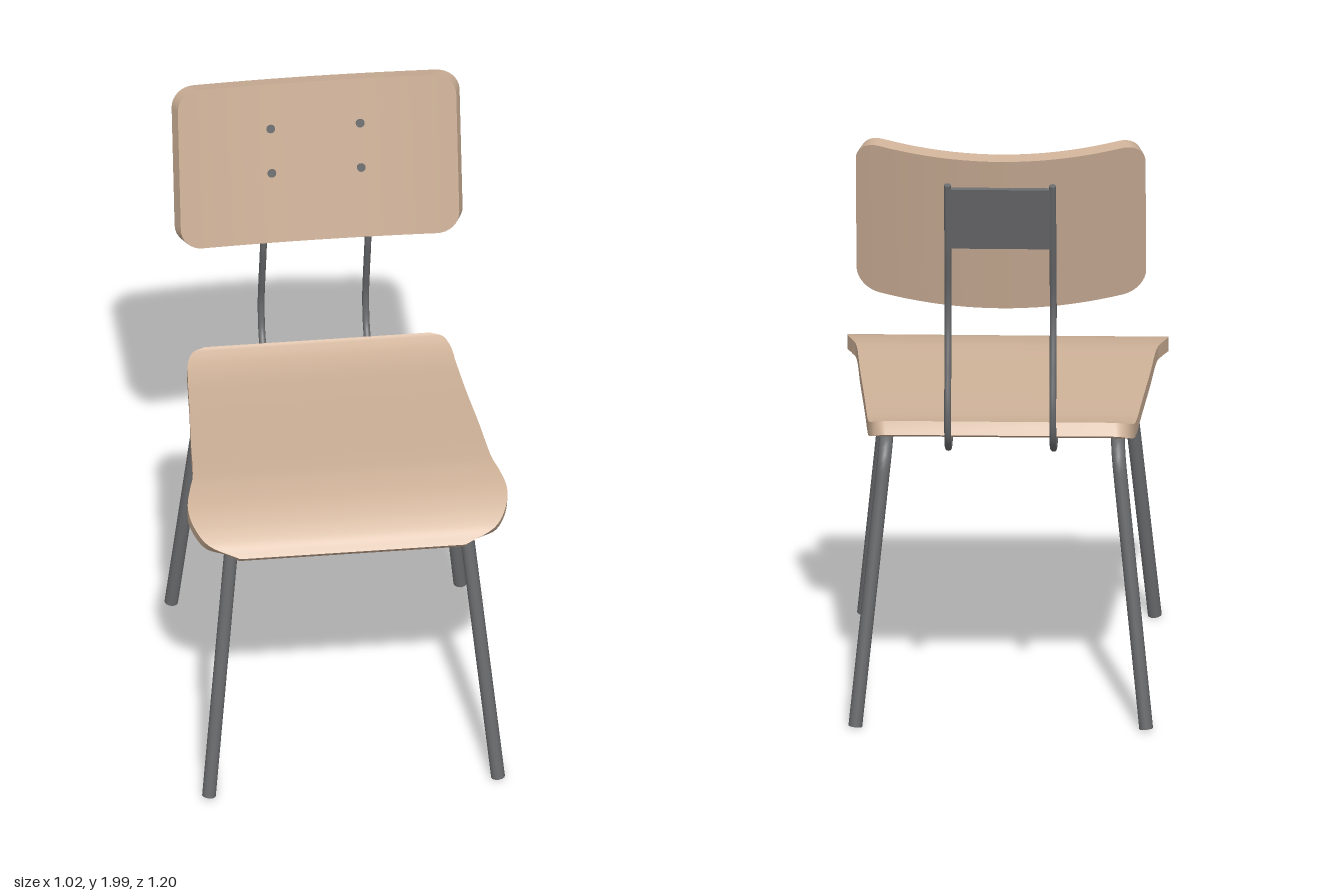
import * as THREE from 'three';
import { mergeGeometries, toCreasedNormals } from 'three/addons/utils/BufferGeometryUtils.js';

const V = (x, y, z) => new THREE.Vector3(x, y, z);
const TILT = 0.212; // backrest lean

// Skin a row of four-cornered cross-sections and close both ends
function loft(sections) {
  const pos = [];
  const quad = (a, b, c, d) => [a, b, c, a, c, d].forEach((p) => pos.push(p.x, p.y, p.z));
  for (let i = 0; i < sections.length - 1; i++) {
    const p = sections[i], q = sections[i + 1];
    for (let j = 0; j < 4; j++) {
      const k = (j + 1) % 4;
      quad(p[j], p[k], q[k], q[j]);
    }
  }
  const [a, b, c, d] = sections[0];
  quad(d, c, b, a);
  quad(...sections[sections.length - 1]);
  const geo = new THREE.BufferGeometry();
  geo.setAttribute('position', new THREE.Float32BufferAttribute(pos, 3));
  return toCreasedNormals(geo, 0.6);
}

// Capped round bar along a curve
function bar(curve, radius, segments) {
  const parts = [new THREE.TubeGeometry(curve, segments, radius, 12)];
  for (const t of [0, 1]) {
    const cap = new THREE.CircleGeometry(radius, 12);
    const dir = curve.getTangentAt(t).multiplyScalar(t ? 1 : -1);
    cap.applyQuaternion(new THREE.Quaternion().setFromUnitVectors(V(0, 0, 1), dir));
    cap.translate(...curve.getPointAt(t).toArray());
    parts.push(cap);
  }
  return mergeGeometries(parts);
}

// Straight runs joined by rounded bends
function bentPath(points, bend) {
  const path = new THREE.CurvePath();
  let from = points[0];
  for (let i = 1; i < points.length - 1; i++) {
    const p = points[i];
    const toward = (q) => p.clone().add(q.clone().sub(p).setLength(bend));
    const a = toward(points[i - 1]), b = toward(points[i + 1]);
    path.add(new THREE.LineCurve3(from, a));
    path.add(new THREE.QuadraticBezierCurve3(a, p, b));
    from = b;
  }
  path.add(new THREE.LineCurve3(from, points[points.length - 1]));
  return path;
}

// Seat: each key is half-width, height and depth along the upper surface
function seatGeometry() {
  const spine = new THREE.CatmullRomCurve3([
    V(0.36, 1.018, -0.452), V(0.4, 1.01, -0.438), V(0.42, 0.996, -0.4), V(0.428, 0.987, -0.33),
    V(0.44, 0.992, -0.18), V(0.46, 1.007, 0.04), V(0.479, 1.02, 0.26), V(0.492, 1.018, 0.31),
    V(0.51, 1.004, 0.4), V(0.5, 0.979, 0.465), V(0.46, 0.943, 0.525), V(0.36, 0.905, 0.56),
  ]);
  const sections = [], n = 60, thick = 0.045;
  for (let i = 0; i <= n; i++) {
    const p = spine.getPoint(i / n), t = spine.getTangent(i / n);
    const len = Math.hypot(t.y, t.z);
    const y = p.y - (thick * t.z) / len, z = p.z + (thick * t.y) / len;
    sections.push([V(-p.x, y, z), V(p.x, y, z), V(p.x, p.y, p.z), V(-p.x, p.y, p.z)]);
  }
  return loft(sections);
}

// Backrest: columns across a dished, leaning panel with rounded corners
function backrestGeometry() {
  const W = 0.445, H = 0.2735, R = 0.07, thick = 0.045;
  const c = Math.cos(TILT), s = Math.sin(TILT);
  const place = (x, up, fwd) => V(x, 1.6875 + up * c + fwd * s, -0.4925 - up * s + fwd * c);
  const xs = [];
  const corner = (i) => W - R + R * Math.sin((i / 8) * Math.PI / 2);
  for (let i = 8; i > 0; i--) xs.push(-corner(i));
  for (let i = 0; i <= 20; i++) xs.push((W - R) * (i / 10 - 1));
  for (let i = 1; i <= 8; i++) xs.push(corner(i));
  return loft(xs.map((x) => {
    const k = (x / W) ** 2;
    const over = Math.max(0, Math.abs(x) - (W - R));
    const h = H - R + Math.sqrt(Math.max(0, R * R - over * over));
    const fwd = 0.08 * k, rise = 0.028 * k;
    const slope = (0.16 * x) / (W * W), n = Math.hypot(1, slope);
    const bx = x + (thick * slope) / n, bf = fwd - thick / n;
    return [place(x, rise - h, fwd), place(bx, rise - h, bf), place(bx, rise + h, bf), place(x, rise + h, fwd)];
  }));
}

export function createModel() {
  const wood = new THREE.MeshStandardMaterial({ color: 0xceb198 });
  wood.name = 'wood';
  const metal = new THREE.MeshStandardMaterial({ color: 0x6a6b6d });
  metal.name = 'metal';

  const model = new THREE.Group();
  model.name = 'chair';
  const add = (name, geo, mat) => {
    const mesh = new THREE.Mesh(geo, mat);
    mesh.name = name;
    model.add(mesh);
    return mesh;
  };

  add('seat', seatGeometry(), wood);
  add('backrest', backrestGeometry(), wood);

  for (const s of [1, -1]) {
    const side = s > 0 ? 'left' : 'right';
    // Front leg, under-seat rail and back leg in one bent tube
    const frame = bentPath([
      V(s * 0.462, 0.004, 0.575), V(s * 0.368, 0.953, 0.434),
      V(s * 0.368, 0.914, -0.384), V(s * 0.462, 0.004, -0.497),
    ], 0.09);
    add(side + 'LegFrame', bar(frame, 0.022, 120), metal);

    // Thin rod from the backrest, curling under the seat
    const rod = new THREE.CatmullRomCurve3([
      [1.865, -0.591], [1.64, -0.543], [1.45, -0.501], [1.36, -0.503], [1.22, -0.54],
      [1.09, -0.567], [0.99, -0.543], [0.935, -0.465], [0.92, -0.36], [0.924, -0.2], [0.942, 0.22],
    ].map(([y, z]) => V(s * 0.167, y, z)));
    add(side + 'BackRod', bar(rod, 0.011, 100), metal);

    // Screw heads on the face of the backrest
    for (const y of [1.66, 1.81]) {
      const screw = add(side + 'Screw', new THREE.CylinderGeometry(0.014, 0.014, 0.008, 16), metal);
      screw.position.set(s * 0.143, y, -0.435 - 0.215 * (y - 1.42) + 0.009);
      screw.rotation.x = Math.PI / 2 - TILT;
    }
  }

  // Cross bars between the two rails
  for (const [name, y, z] of [['frontCrossBar', 0.942, 0.22], ['rearCrossBar', 0.924, -0.2]]) {
    add(name, bar(new THREE.LineCurve3(V(-0.365, y, z), V(0.365, y, z)), 0.013, 1), metal);
  }

  // Mounting plate behind the backrest
  const plate = add('mountingPlate', new THREE.BoxGeometry(0.33, 0.22, 0.014), metal);
  plate.position.set(0, 1.745, -0.566);
  plate.rotation.x = -TILT;

  return model;
}
